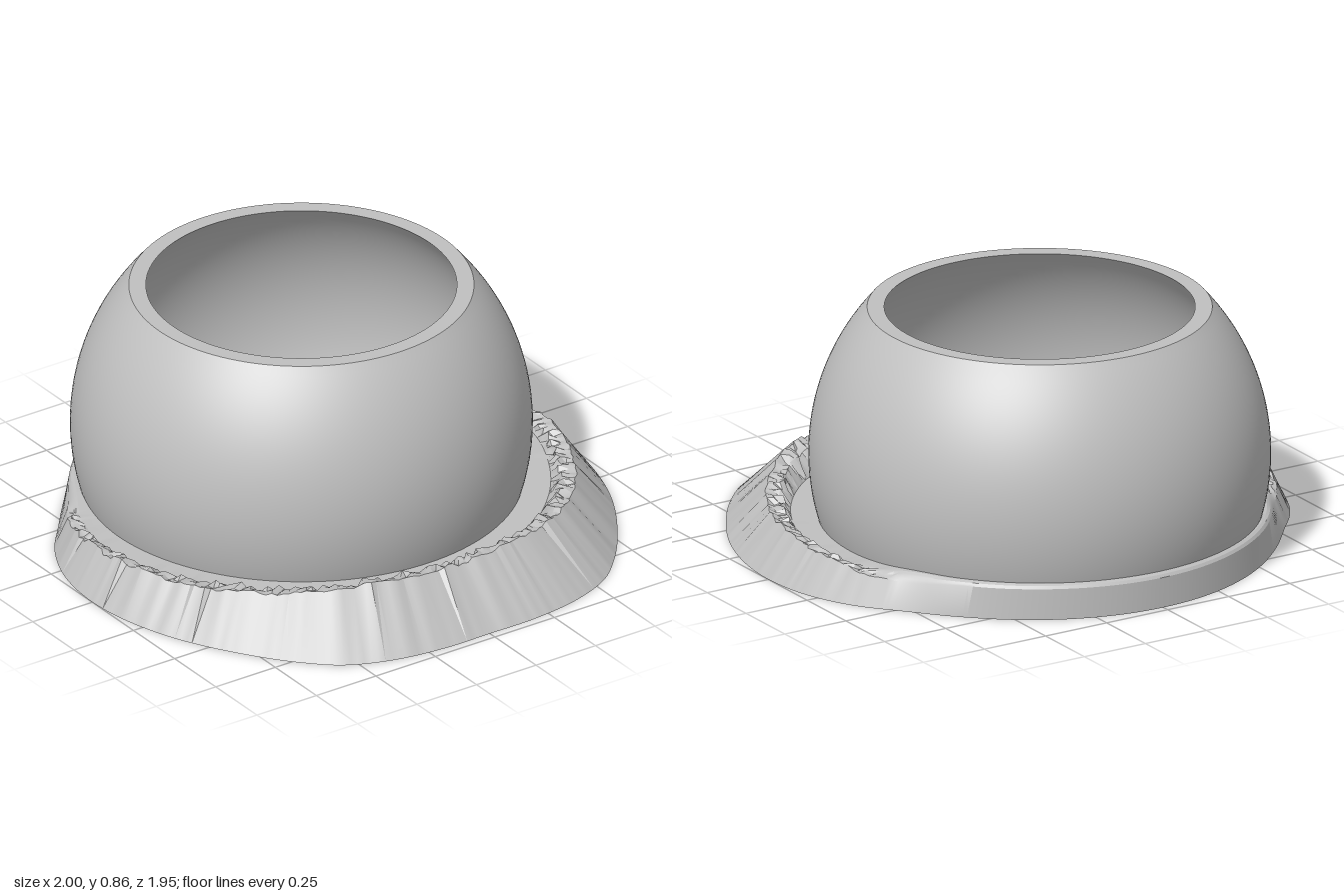
import * as THREE from 'three';
import { toCreasedNormals } from 'three/addons/utils/BufferGeometryUtils.js';

const CENTRE_Z = -0.175;   // axis of the dome
const CENTRE_Y = 0.33;     // height of the dome's widest point
const TOP = 0.863;

// Small seeded random generator
function seeded(seed) {
  return () => {
    seed = (seed * 16807) % 2147483647;
    return seed / 2147483647;
  };
}

// Points along a sphere's profile from one height to another
function arc(radius, y0, y1, steps) {
  const points = [];
  for (let i = 0; i <= steps; i++) {
    const y = y0 + (y1 - y0) * i / steps;
    points.push(new THREE.Vector2(Math.sqrt(radius ** 2 - (y - CENTRE_Y) ** 2), y));
  }
  return points;
}

// Hollow sphere, cut flat at the top and bottom
function domeGeometry() {
  const profile = [...arc(0.8, 0, TOP, 32), ...arc(0.757, TOP, 0, 32)];
  profile.push(profile[0].clone());
  return toCreasedNormals(new THREE.LatheGeometry(profile, 128), 0.5);
}

// Half of the brim: angle from front, foot radius, crest radius and height,
// inner crest radius and height, floor radius and height
const BRIM = [
  [0, 1.145, 0.95, 0.19, 0.90, 0.175, 0.86, 0.11],
  [9, 1.159, 0.96, 0.195, 0.91, 0.18, 0.865, 0.11],
  [20, 1.18, 0.975, 0.198, 0.925, 0.18, 0.87, 0.11],
  [28, 1.181, 0.978, 0.19, 0.925, 0.175, 0.87, 0.11],
  [35, 1.153, 0.972, 0.18, 0.92, 0.165, 0.87, 0.11],
  [46, 1.107, 0.96, 0.165, 0.905, 0.155, 0.865, 0.11],
  [62, 1.062, 0.94, 0.15, 0.89, 0.14, 0.86, 0.11],
  [80, 1.015, 0.92, 0.145, 0.88, 0.135, 0.86, 0.11],
  [92, 0.972, 0.895, 0.13, 0.865, 0.125, 0.845, 0.11],
  [103, 0.918, 0.868, 0.105, 0.84, 0.11, 0.82, 0.115],
  [114, 0.855, 0.82, 0.095, 0.805, 0.115, 0.79, 0.125],
  [126, 0.822, 0.803, 0.108, 0.795, 0.12, 0.785, 0.125],
  [139, 0.806, 0.797, 0.11, 0.79, 0.12, 0.78, 0.125],
  [180, 0.797, 0.797, 0.11, 0.79, 0.12, 0.78, 0.125],
];

// Ring swept round the dome, with a ragged crest that fades towards the back
function brimGeometry() {
  const curve = new THREE.CubicInterpolant(
    BRIM.map(row => row[0]), BRIM.flatMap(row => row.slice(1)), 7);
  curve.settings = { endingStart: THREE.ZeroSlopeEnding, endingEnd: THREE.ZeroSlopeEnding };
  const random = seeded(4127);
  const jitter = size => (random() - 0.5) * size;
  const segments = 300, positions = [], indices = [];
  let rows = 0, step = 0;
  for (let i = 0; i < segments; i++) {
    const degrees = i * 360 / segments;
    const side = degrees > 180 ? 360 - degrees : degrees;
    const [foot, rc, yc, ri, yi, rf, yf] = curve.evaluate(side);
    const rough = THREE.MathUtils.clamp((112 - side) / 12, 0, 1);
    if (i % 3 === 0) step = jitter(0.018);
    const section = [
      [foot, 0],
      [rc + rough * jitter(0.012), yc + rough * (step + jitter(0.006))],
      [(rc + ri) / 2 + rough * jitter(0.012), (yc + yi) / 2 + rough * (step + jitter(0.016))],
      [ri + rough * jitter(0.02), yi + rough * jitter(0.025)],
      [(ri + rf) / 2 + rough * jitter(0.016), (yi + yf) / 2 + rough * jitter(0.016)],
      [rf, yf],
      [0.75, yf],
      [0.728, 0],
    ];
    rows = section.length;
    const a = THREE.MathUtils.degToRad(degrees);
    for (const [r, y] of section) positions.push(r * Math.sin(a), y, r * Math.cos(a));
    const next = (i + 1) % segments;
    for (let j = 0; j < rows; j++) {
      const k = (j + 1) % rows;
      const p = i * rows + j, q = next * rows + j, s = next * rows + k, t = i * rows + k;
      indices.push(p, q, s, p, s, t);
    }
  }
  const geometry = new THREE.BufferGeometry();
  geometry.setAttribute('position', new THREE.Float32BufferAttribute(positions, 3));
  geometry.setIndex(indices);
  return toCreasedNormals(geometry, 0.45);
}

// Flat tab with a screw hole
function tabGeometry() {
  const shape = new THREE.Shape();
  shape.moveTo(-0.125, -0.0875);
  shape.lineTo(0.125, -0.0875);
  shape.lineTo(0.125, 0.0875);
  shape.lineTo(-0.125, 0.0875);
  shape.closePath();
  const hole = new THREE.Path();
  hole.absarc(-0.06, 0, 0.022, 0, Math.PI * 2, true);
  shape.holes.push(hole);
  const geometry = new THREE.ExtrudeGeometry(shape, { depth: 0.04, bevelEnabled: false, curveSegments: 24 });
  return geometry.rotateX(-Math.PI / 2);
}

export function createModel() {
  const model = new THREE.Group();
  model.name = 'openDomeOnBrim';
  const grey = new THREE.MeshStandardMaterial({ color: 0xc0c0c0 });
  grey.name = 'plainGrey';

  const add = (name, geometry) => {
    const mesh = new THREE.Mesh(geometry, grey);
    mesh.name = name;
    mesh.position.z = CENTRE_Z;
    model.add(mesh);
    return mesh;
  };

  add('domeShell', domeGeometry());
  add('raggedBrim', brimGeometry());

  // Mounting tabs inside the bottom opening
  const tab = tabGeometry();
  add('leftMountingTab', tab).position.x = 0.575;
  const rightTab = add('rightMountingTab', tab);
  rightTab.position.x = -0.575;
  rightTab.rotation.y = Math.PI;

  return model;
}
